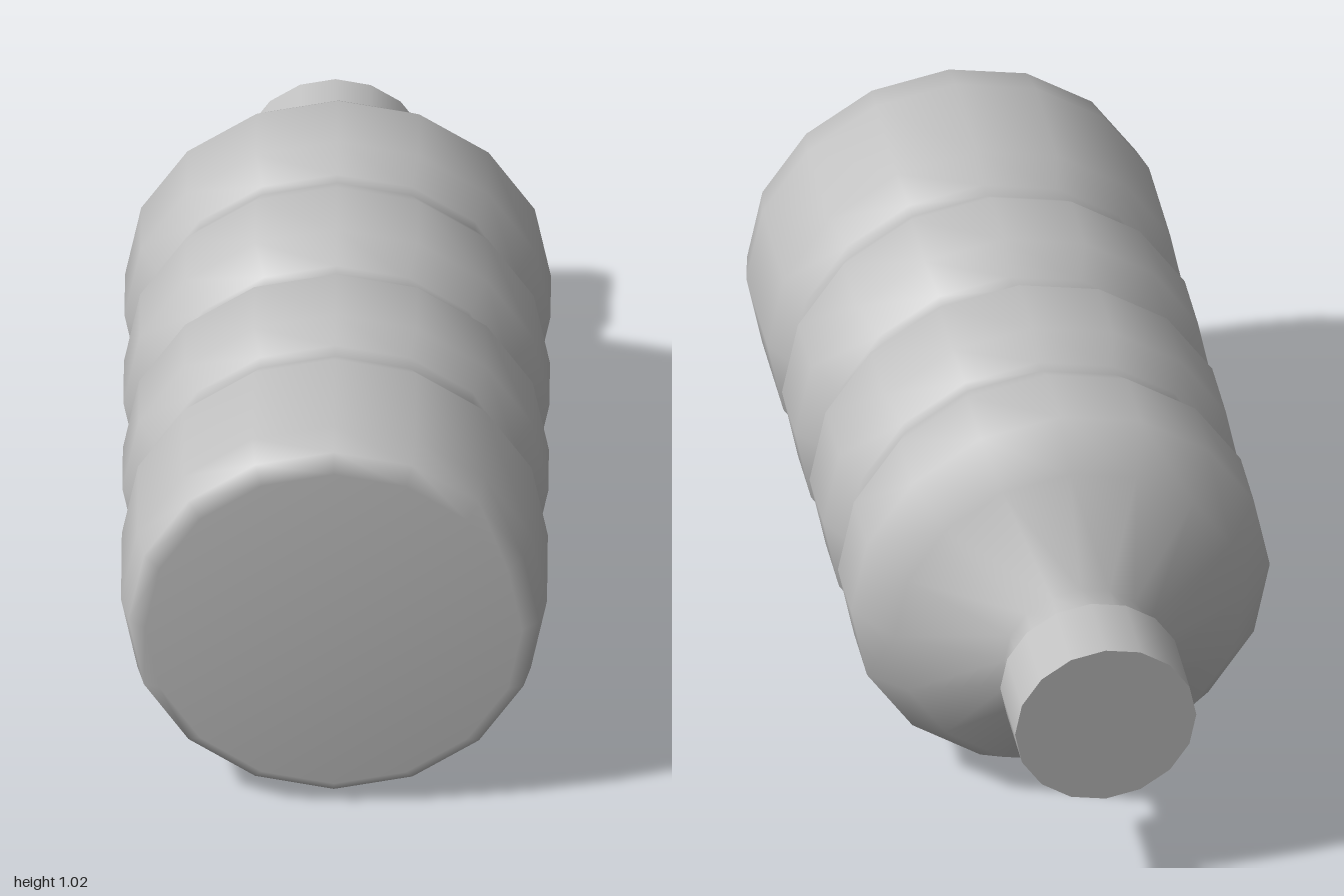
import * as THREE from 'three';

const SIDES = 16;
const CENTRE_Y = 0.51;

export function createModel() {
  const model = new THREE.Group();
  model.name = 'bottle';
  const plastic = new THREE.MeshStandardMaterial({ color: 0xc0c0c0, side: THREE.DoubleSide });
  plastic.name = 'grey plastic';

  // Bottle lying on its side: [radius, z] from the neck to the base
  const profile = [
    [0.185, -0.82], [0.185, -0.73],                                  // neck
    [0.425, -0.59], [0.508, -0.47], [0.508, -0.3],                   // shoulder
    [0.465, -0.225], [0.465, -0.19], [0.508, -0.11], [0.508, 0.065], // rear groove
    [0.448, 0.13], [0.448, 0.18], [0.508, 0.25], [0.508, 0.42],      // middle groove
    [0.465, 0.485], [0.465, 0.53], [0.508, 0.605], [0.508, 0.88],    // front groove
    [0.49, 0.965], [0.45, 1], [0, 1],                                // base
  ].map(([r, z]) => new THREE.Vector2(r, z));
  const body = new THREE.Mesh(new THREE.LatheGeometry(profile, SIDES), plastic);
  body.name = 'body';
  body.rotation.x = Math.PI / 2;
  body.position.y = CENTRE_Y;
  model.add(body);

  // Screw cap, seated slightly off the neck's axis
  const cap = new THREE.Mesh(new THREE.CylinderGeometry(0.22, 0.22, 0.19, SIDES), plastic);
  cap.name = 'cap';
  cap.rotation.x = Math.PI / 2;
  cap.position.set(-0.01, 0.49, -0.905);
  model.add(cap);

  return model;
}
